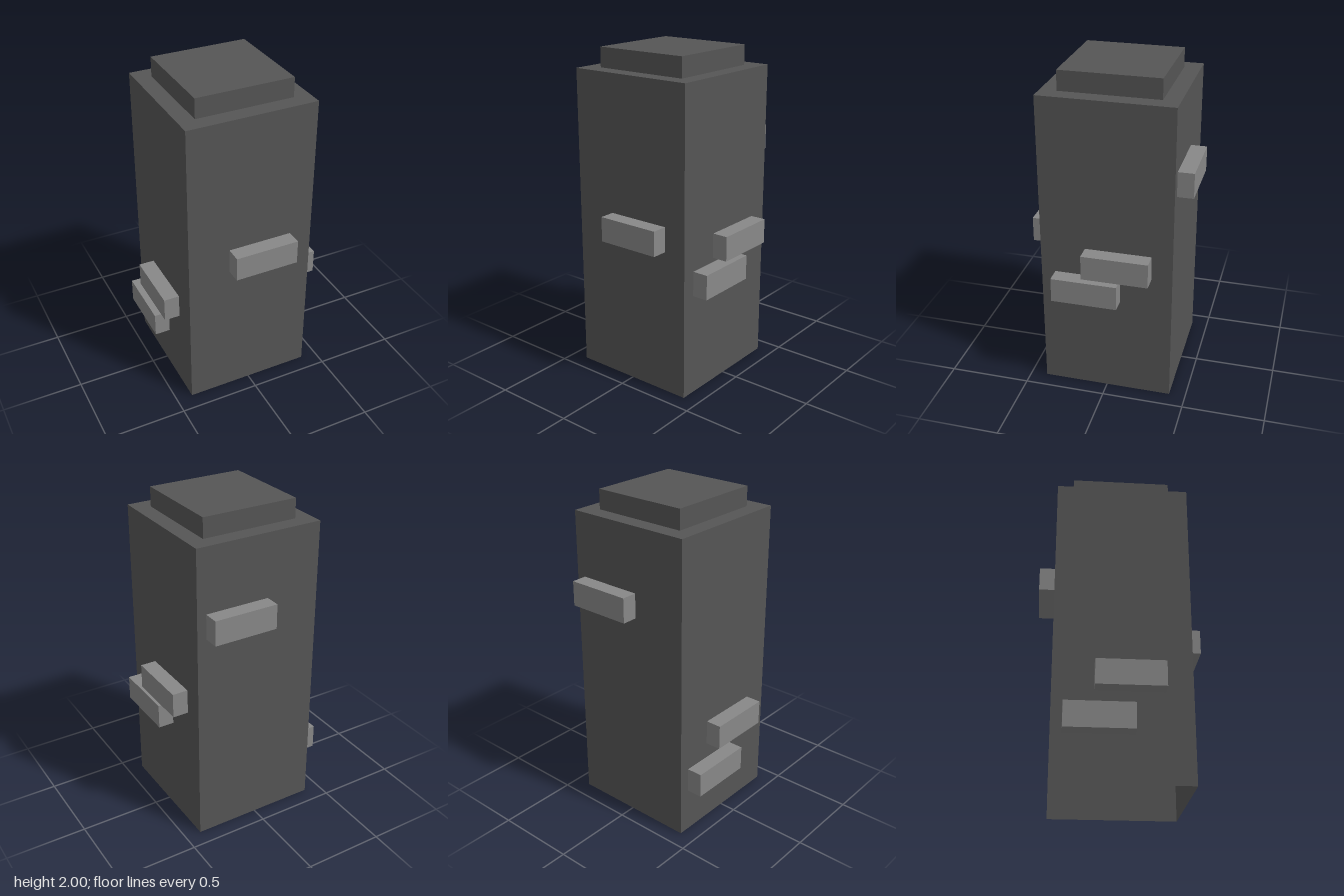
import * as THREE from 'three';

export function createModel() {
  const model = new THREE.Group();
  const darkStone = new THREE.MeshStandardMaterial({ color: 0x555555, side: THREE.DoubleSide });
  darkStone.name = 'darkStone';
  const lightStone = new THREE.MeshStandardMaterial({ color: 0x888888 });
  lightStone.name = 'lightStone';

  const WIDTH = 0.798, HEIGHT = 1.88, CAP = 0.12;
  const add = (name, geometry, material, x, y, z) => {
    const mesh = new THREE.Mesh(geometry, material);
    mesh.name = name;
    mesh.position.set(x, y, z);
    model.add(mesh);
    return mesh;
  };

  // Shaft: a hollow box, open underneath (the bottom face is dropped)
  const shaft = new THREE.BoxGeometry(WIDTH, HEIGHT, WIDTH);
  const index = Array.from(shaft.index.array);
  index.splice(18, 6);
  shaft.setIndex(index);
  shaft.clearGroups();
  add('shaft', shaft, darkStone, 0, HEIGHT / 2, 0);

  // Stepped cap
  add('cap', new THREE.BoxGeometry(0.598, CAP, 0.598), darkStone, 0, HEIGHT + CAP / 2, 0);

  // Protruding bricks: wall, position along the wall (x or z), height
  const DEPTH = 0.096;
  const brick = new THREE.BoxGeometry(0.4, 0.152, DEPTH);
  const out = WIDTH / 2 + DEPTH / 2;
  const bricks = [
    ['front', 0.059, 0.971],
    ['back', 0.142, 1.412],
    ['left', -0.074, 0.886],
    ['left', 0.114, 0.707],
    ['right', 0.039, 0.608],
    ['right', -0.134, 0.357],
  ];
  for (const [wall, along, y] of bricks) {
    const name = wall + 'Brick';
    if (wall === 'front' || wall === 'back') {
      add(name, brick, lightStone, along, y, wall === 'front' ? out : -out);
    } else {
      add(name, brick, lightStone, wall === 'left' ? out : -out, y, along).rotation.y = Math.PI / 2;
    }
  }
  return model;
}
